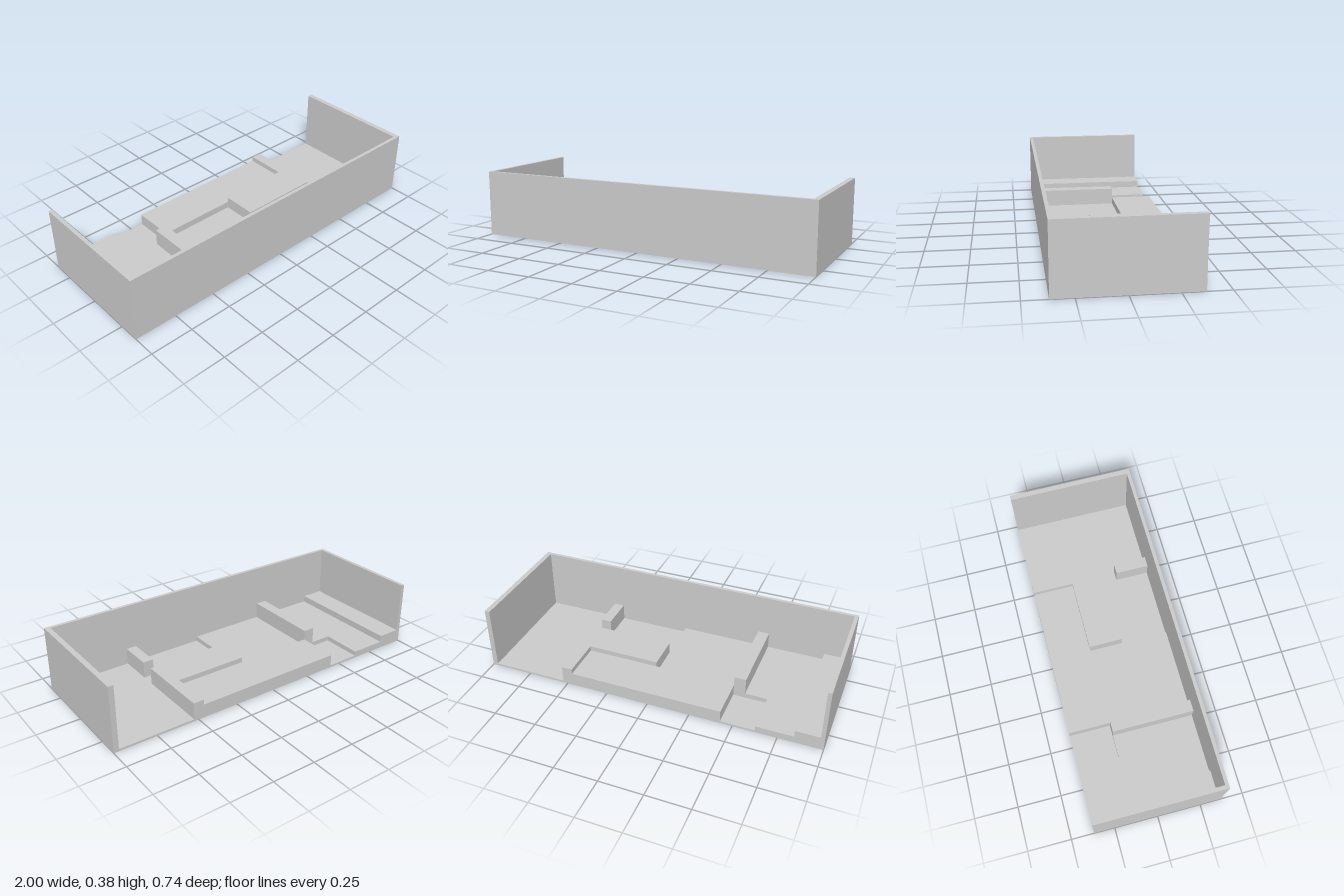
import * as THREE from 'three';

const material = new THREE.MeshStandardMaterial({ color: 0xcccccc, flatShading: true });

// Vertical prism from a plan outline of [x, z] points between two heights
function prism(name, outline, y0, y1) {
  const shape = new THREE.Shape(outline.map(([x, z]) => new THREE.Vector2(x, -z)));
  const geometry = new THREE.ExtrudeGeometry(shape, { depth: y1 - y0, bevelEnabled: false });
  geometry.rotateX(-Math.PI / 2).translate(0, y0, 0);
  const mesh = new THREE.Mesh(geometry, material);
  mesh.name = name;
  return mesh;
}

const rect = (x0, x1, z0, z1) => [[x0, z0], [x1, z0], [x1, z1], [x0, z1]];

export function createModel() {
  const group = new THREE.Group();
  group.name = 'openTray';

  const back = -0.37, front = 0.37;       // outer depth
  const inL = 0.97, inR = -0.978, inF = 0.35; // inner wall faces
  const mid = -0.128;                     // front edge of the platform
  const floor = 0.012;

  // Three walls, open at the back
  group.add(prism('walls', [
    [-1, back], [inR, back], [inR, inF], [inL, inF],
    [inL, back], [1, back], [1, front], [-1, front],
  ], 0, 0.382));

  // Base plate between the walls
  group.add(prism('floor', rect(inR, inL, back, inF), 0, floor));

  // Stepped levels on the right-hand side
  group.add(prism('sideStep', rect(inR, -0.84, back, inF), floor, 0.08));
  group.add(prism('sideTerrace', [
    [-0.84, back], [-0.627, back], [-0.627, mid], [-0.498, mid], [-0.498, inF], [-0.84, inF],
  ], floor, 0.04));

  // Tall partition and the levels beside it
  group.add(prism('partition', rect(-0.498, -0.43, mid, inF), floor, 0.138));
  group.add(prism('middleTerrace', rect(-0.43, 0.04, mid, inF), floor, 0.04));
  group.add(prism('platform', rect(-0.43, 0.466, back, mid), floor, 0.08));

  // L-shaped ridge round the platform and the short block facing it
  group.add(prism('ridge', [
    [0.466, back], [0.528, back], [0.528, 0.072], [0.04, 0.072], [0.04, mid], [0.466, mid],
  ], floor, 0.11));
  group.add(prism('shortBlock', rect(0.466, 0.528, 0.152, inF), floor, 0.11));

  return group;
}
